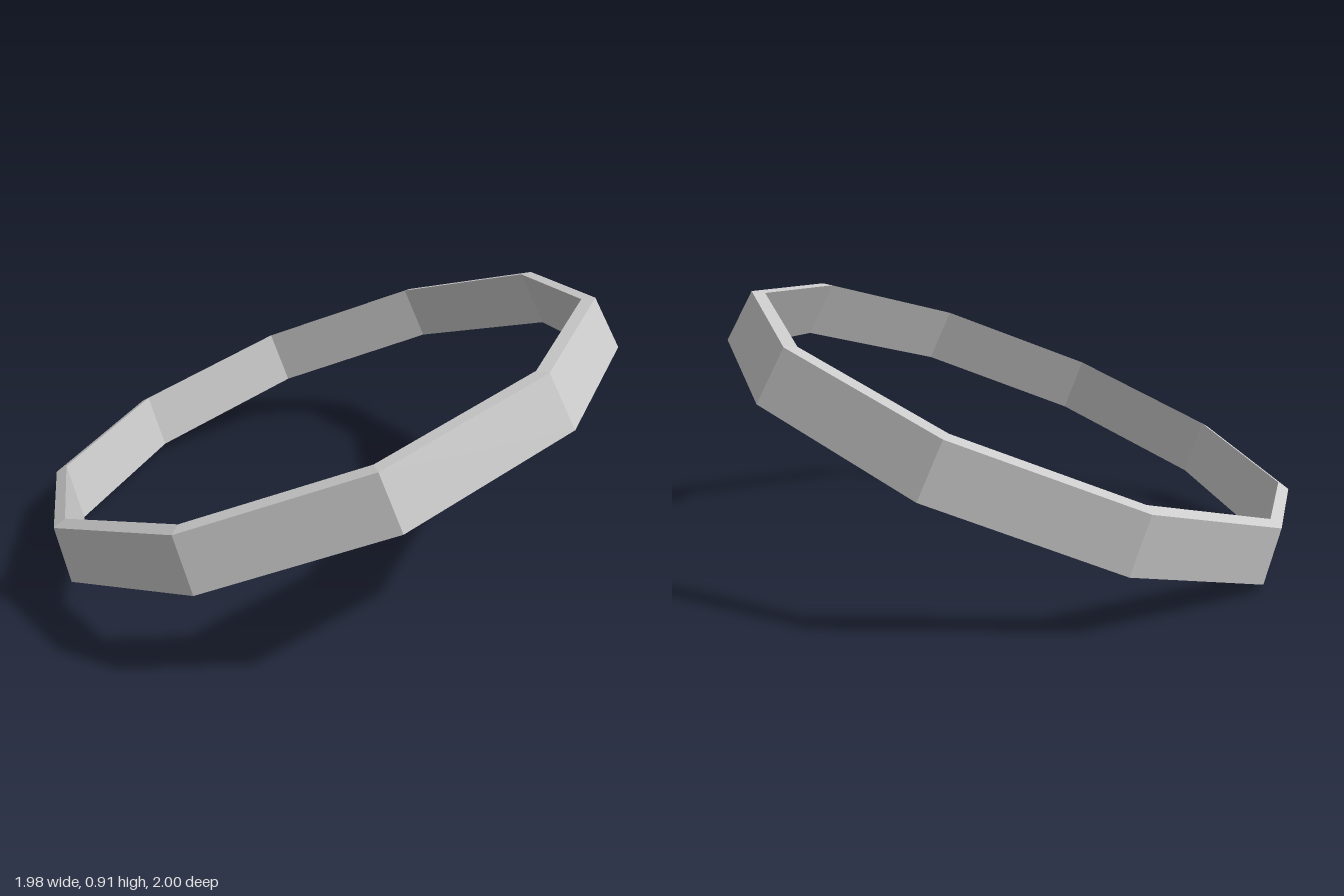
import * as THREE from 'three';

export function createModel() {
  const group = new THREE.Group();
  group.name = 'tiltedRing';

  // Closed wall section: slightly flared outwards to the bottom, inner side a little taller
  const section = [
    [1.037, -0.095], [1.014, 0.095], [0.969, 0.105], [0.992, -0.105], [1.037, -0.095],
  ].map(([r, y]) => new THREE.Vector2(r, y));

  // Ten flat sides
  const geometry = new THREE.LatheGeometry(section, 10).toNonIndexed();
  geometry.computeVertexNormals();

  const ring = new THREE.Mesh(
    geometry,
    new THREE.MeshStandardMaterial({ color: 0xcccccc, flatShading: true })
  );
  ring.name = 'ringBand';

  // Tilt: ring axis, and the direction of its first corner
  const axis = new THREE.Vector3(-0.149, 0.93, -0.336).normalize();
  const corner = new THREE.Vector3(-0.03, 0.333, 0.942);
  const side = new THREE.Vector3().crossVectors(axis, corner).normalize();
  corner.crossVectors(side, axis);
  ring.quaternion.setFromRotationMatrix(new THREE.Matrix4().makeBasis(side, axis, corner));
  ring.position.set(-0.015, 0.47, -0.016);

  group.add(ring);
  return group;
}
